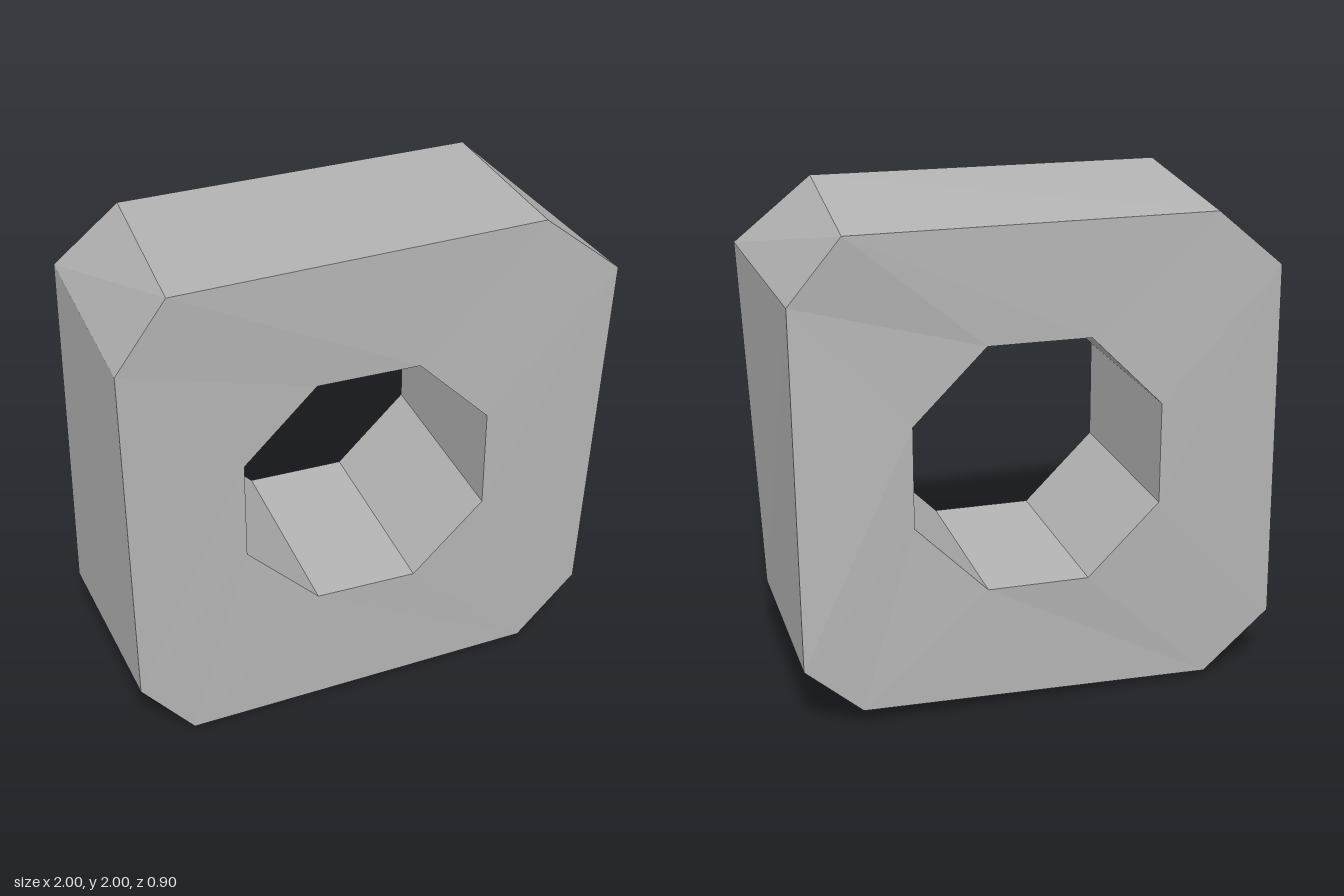
import * as THREE from 'three';

// Outer outlines, counter-clockwise seen from the front, starting at the lower right
const FRONT = [
  [0.94, 0.29, 0.40], [1.0, 1.75, 0.41], [0.69, 2.0, 0.405], [-0.76, 1.985, 0.45],
  [-0.955, 1.705, 0.44], [-0.95, 0.26, 0.435], [-0.74, 0.0, 0.425], [0.70, 0.035, 0.40],
];
const BACK = [
  [0.93, 0.28, -0.45], [0.93, 1.69, -0.40], [0.73, 1.945, -0.435], [-0.71, 1.94, -0.40],
  [-0.97, 1.72, -0.41], [-1.0, 0.255, -0.38], [-0.73, 0.015, -0.38], [0.70, 0.07, -0.425],
];

// Regular octagonal rim of the hole
function holeRim(z) {
  const radius = 0.53;
  return FRONT.map((_, k) => {
    const a = (k - 0.5) * Math.PI / 4;
    return [-0.005 + radius * Math.cos(a), 1.005 + radius * Math.sin(a), z];
  });
}

// Band of quads between two loops, facing outward when loop a lies in front of loop b
function band(name, a, b, material) {
  const positions = [];
  for (let k = 0; k < a.length; k++) {
    const n = (k + 1) % a.length;
    positions.push(...a[k], ...b[k], ...b[n], ...a[k], ...b[n], ...a[n]);
  }
  const geometry = new THREE.BufferGeometry();
  geometry.setAttribute('position', new THREE.Float32BufferAttribute(positions, 3));
  geometry.computeVertexNormals(); // unshared corners give flat faces
  const mesh = new THREE.Mesh(geometry, material);
  mesh.name = name;
  return mesh;
}

export function createModel() {
  const stone = new THREE.MeshStandardMaterial({ color: 0xb4b4b4 });
  stone.name = 'grey stone';

  const frontRim = holeRim(0.42);
  const backRim = holeRim(-0.42);

  const block = new THREE.Group();
  block.name = 'piercedBlock';
  block.add(
    band('outerSides', FRONT, BACK, stone),
    band('frontFace', frontRim, FRONT, stone),
    band('backFace', BACK, backRim, stone),
    band('holeWalls', backRim, frontRim, stone),
  );
  return block;
}
